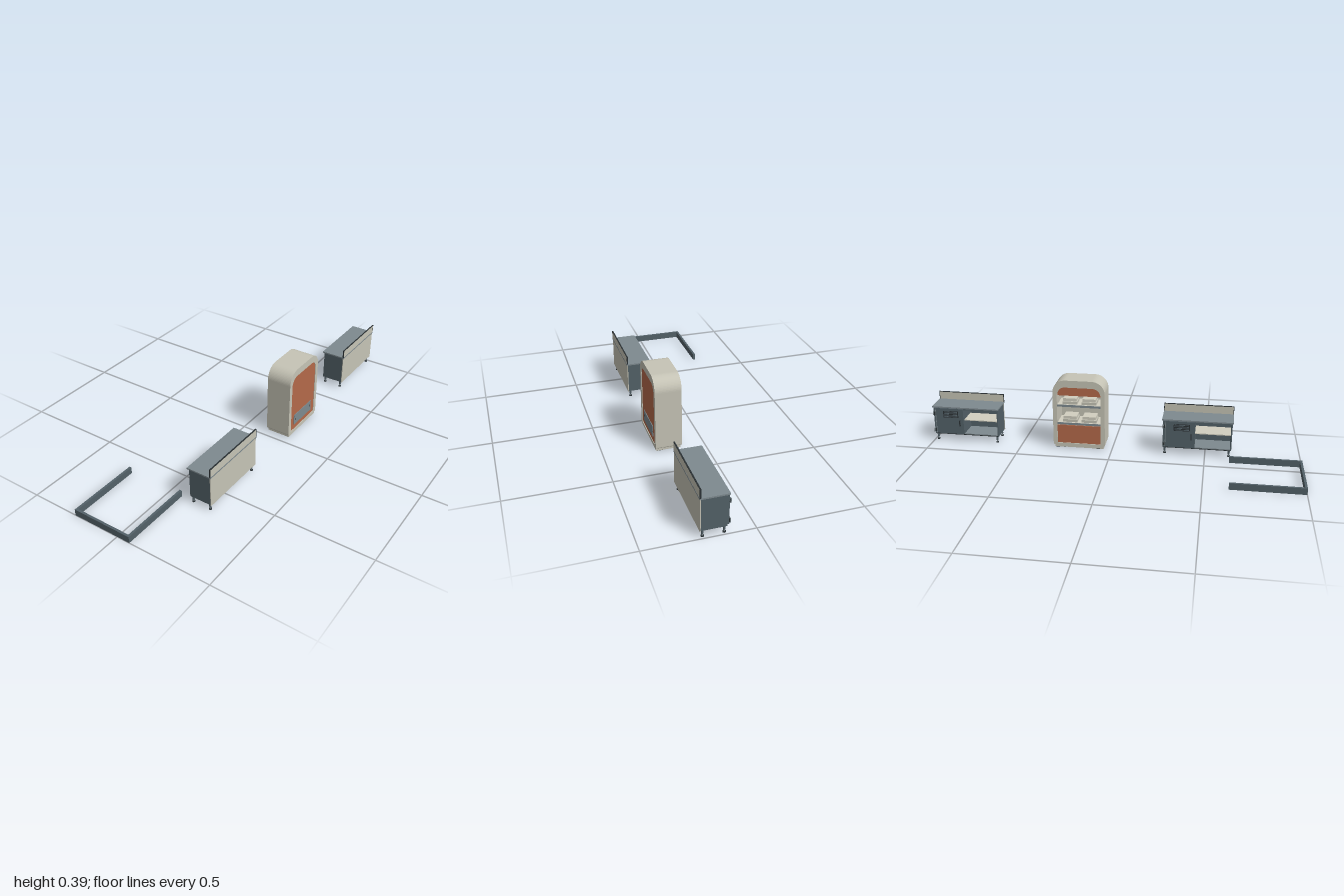
import * as THREE from 'three';

const mat = (name, color, side = THREE.FrontSide) => {
  const m = new THREE.MeshStandardMaterial({ color, side });
  m.name = name;
  return m;
};

export function createModel() {
  const cream = mat('cream', 0xc6c4b6);
  const slate = mat('slate', 0x536168);
  const steel = mat('steel', 0x7e8a8f);
  const orange = mat('burnt orange', 0xb4694a);
  const dark = mat('charcoal', 0x2b3235);
  const pale = mat('pale shelf', 0xd2cfc0);

  const root = new THREE.Group();
  root.name = 'kitchenSet';

  // Box given by its lower and upper bounds
  const box = (parent, name, m, x0, x1, y0, y1, z0, z1) => {
    const mesh = new THREE.Mesh(new THREE.BoxGeometry(x1 - x0, y1 - y0, z1 - z0), m);
    mesh.position.set((x0 + x1) / 2, (y0 + y1) / 2, (z0 + z1) / 2);
    mesh.name = name;
    parent.add(mesh);
    return mesh;
  };
  const post = (parent, name, m, r, x, y0, y1, z) => {
    const mesh = new THREE.Mesh(new THREE.CylinderGeometry(r, r, y1 - y0, 14), m);
    mesh.position.set(x, (y0 + y1) / 2, z);
    mesh.name = name;
    parent.add(mesh);
  };

  // Three-sided floor curb
  const curb = new THREE.Group();
  curb.name = 'floorCurb';
  root.add(curb);
  box(curb, 'curbRight', slate, -0.25, -0.238, 0, 0.034, 0.628, 0.988);
  box(curb, 'curbLeft', slate, 0.058, 0.07, 0, 0.034, 0.628, 0.988);
  box(curb, 'curbFront', slate, -0.25, 0.07, 0, 0.034, 0.988, 1);

  // Work counter: closed bay with a door towards -z, open bay towards +z
  const counter = (zc) => {
    const g = new THREE.Group();
    g.name = 'counter';
    g.position.z = zc;
    root.add(g);
    const W = 0.187, B = 0.182;

    box(g, 'worktop', steel, 0.119, 0.25, 0.193, 0.2, -W, W);
    box(g, 'splashPanel', cream, 0.2445, 0.2495, 0.2, 0.242, -W + 0.003, W - 0.003);
    box(g, 'splashTopTrim', dark, 0.244, 0.25, 0.241, 0.244, -W, W);
    for (const s of [-1, 1]) {
      const a = s * W, b = s * (W - 0.003);
      box(g, 'splashEndTrim', dark, 0.244, 0.25, 0.2, 0.241, Math.min(a, b), Math.max(a, b));
      const c = s * B, d = s * (B - 0.006);
      box(g, 'sidePanel', slate, 0.128, 0.245, 0.036, 0.193, Math.min(c, d), Math.max(c, d));
    }
    box(g, 'backPanel', cream, 0.244, 0.248, 0.034, 0.193, -B - 0.002, B + 0.002);
    box(g, 'innerBack', slate, 0.24, 0.244, 0.04, 0.193, -B + 0.006, B - 0.006);
    box(g, 'floorPanel', steel, 0.128, 0.244, 0.04, 0.045, -B + 0.006, B - 0.006);
    box(g, 'underside', dark, 0.128, 0.244, 0.036, 0.04, -B + 0.006, B - 0.006);
    box(g, 'divider', slate, 0.128, 0.24, 0.045, 0.193, -0.018, -0.012);
    box(g, 'topRail', slate, 0.126, 0.132, 0.183, 0.193, -B + 0.006, B - 0.006);
    box(g, 'middleShelf', pale, 0.134, 0.24, 0.12, 0.125, -0.012, B - 0.006);

    // Door with vent, hinges and pull handle
    box(g, 'door', slate, 0.12, 0.128, 0.043, 0.19, -B + 0.003, -0.012);
    box(g, 'ventPlate', dark, 0.1185, 0.12, 0.138, 0.176, -0.125, -0.04);
    for (let i = 0; i < 4; i++)
      box(g, 'ventSlat', slate, 0.117, 0.1186, 0.142 + i * 0.009, 0.146 + i * 0.009, -0.12, -0.045);
    for (const y of [0.053, 0.151]) {
      box(g, 'hinge', dark, 0.115, 0.121, y, y + 0.018, -B, -B + 0.012);
      post(g, 'hingePin', steel, 0.003, 0.116, y - 0.002, y + 0.02, -B + 0.002);
    }
    box(g, 'doorEdge', steel, 0.1185, 0.1202, 0.045, 0.188, -B + 0.012, -B + 0.015);
    box(g, 'handleGrip', dark, 0.109, 0.113, 0.093, 0.125, -0.034, -0.029);
    for (const y of [0.093, 0.121])
      box(g, 'handleArm', dark, 0.113, 0.12, y, y + 0.004, -0.034, -0.029);

    // Adjustable legs
    for (const x of [0.138, 0.233])
      for (const z of [-0.17, 0.17]) {
        post(g, 'legSleeve', slate, 0.0055, x, 0.014, 0.037, z);
        post(g, 'legRod', steel, 0.0035, x, 0.005, 0.014, z);
        post(g, 'legFoot', dark, 0.0075, x, 0, 0.005, z);
      }
  };
  counter(0.456);
  counter(-0.813);

  // Round-topped display cabinet
  const cabinet = new THREE.Group();
  cabinet.name = 'displayCabinet';
  cabinet.position.z = -0.178;
  root.add(cabinet);

  const arch = (C, w, y0, y1, r, rb) => {
    const p = new C();
    p.moveTo(-w + rb, y0);
    p.lineTo(w - rb, y0);
    p.quadraticCurveTo(w, y0, w, y0 + rb);
    p.lineTo(w, y1 - r);
    p.absarc(w - r, y1 - r, r, 0, Math.PI / 2, false);
    p.lineTo(-w + r, y1);
    p.absarc(-w + r, y1 - r, r, Math.PI / 2, Math.PI, false);
    p.lineTo(-w, y0 + rb);
    p.quadraticCurveTo(-w, y0, -w + rb, y0);
    return p;
  };
  const slab = (name, m, shape, x0, x1) => {
    const geo = new THREE.ExtrudeGeometry(shape, { depth: x1 - x0, bevelEnabled: false, curveSegments: 8 });
    geo.rotateY(Math.PI / 2);
    const mesh = new THREE.Mesh(geo, m);
    mesh.position.x = x0;
    mesh.name = name;
    cabinet.add(mesh);
  };
  const outer = arch(THREE.Shape, 0.141, 0.018, 0.387, 0.07, 0.008);
  outer.holes.push(arch(THREE.Path, 0.118, 0.03, 0.348, 0.045, 0.002));
  slab('shell', cream, outer, 0.119, 0.25);
  slab('backPanel', orange, arch(THREE.Shape, 0.118, 0.03, 0.348, 0.045, 0.002), 0.243, 0.247);
  slab('innerBack', cream, arch(THREE.Shape, 0.118, 0.03, 0.348, 0.045, 0.002), 0.239, 0.243);

  // Plate on the back with two fixings
  box(cabinet, 'backPlate', steel, 0.247, 0.252 - 0.002, 0.057, 0.115, -0.085, 0.087);
  for (const z of [-0.075, 0.077])
    box(cabinet, 'plateFixing', dark, 0.2495, 0.2505, 0.08, 0.092, z - 0.003, z + 0.003);

  // Plinth and feet
  box(cabinet, 'plinth', cream, 0.123, 0.247, 0.005, 0.018, -0.134, 0.134);
  for (const x of [0.131, 0.21])
    for (const z of [-0.128, 0.078])
      box(cabinet, 'foot', dark, x, x + 0.03, 0, 0.006, z, z + 0.05);

  // Front: lower panel, header board, shelves and stacked trays
  box(cabinet, 'lowerPanel', orange, 0.123, 0.129, 0.03, 0.132, -0.118, 0.118);
  slab('headerBoard', orange, arch(THREE.Shape, 0.116, 0.3, 0.347, 0.044, 0.001), 0.128, 0.133);
  for (const y of [0.138, 0.24]) {
    box(cabinet, 'shelf', pale, 0.123, 0.239, y, y + 0.006, -0.118, 0.118);
    box(cabinet, 'shelfLip', steel, 0.121, 0.123, y - 0.002, y + 0.01, -0.118, 0.118);
    for (const z of [-0.092, 0.012])
      for (let i = 0; i < 2; i++)
        box(cabinet, 'tray', i ? pale : cream, 0.14 + i * 0.004, 0.215 - i * 0.004,
          y + 0.007 + i * 0.017, y + 0.022 + i * 0.017, z + i * 0.004, z + 0.08 - i * 0.004);
  }
  return root;
}
